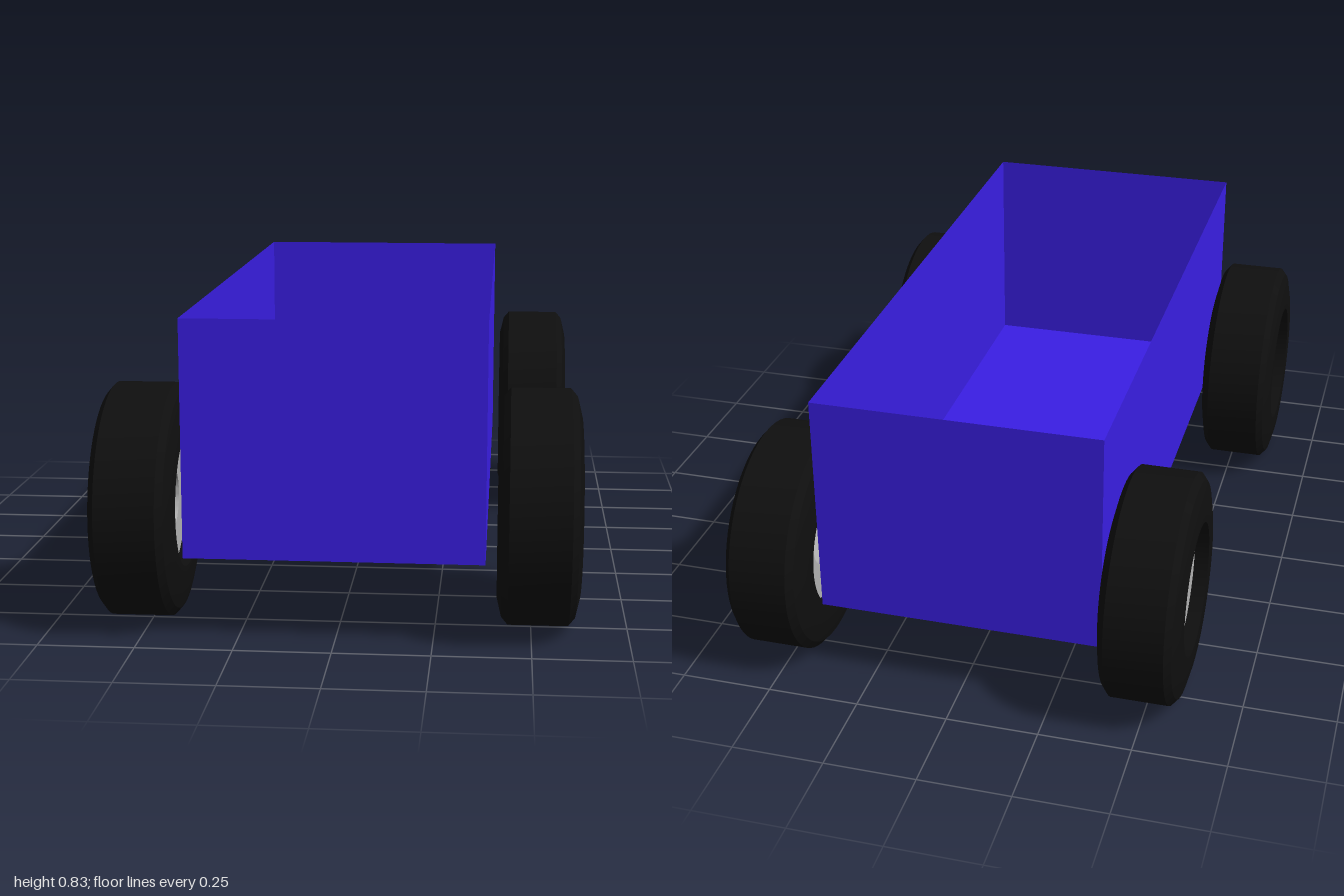
import * as THREE from 'three';
import { toCreasedNormals } from 'three/addons/utils/BufferGeometryUtils.js';

const bodyMat = new THREE.MeshStandardMaterial({ color: 0x3a1ee5, side: THREE.DoubleSide });
const tyreMat = new THREE.MeshStandardMaterial({ color: 0x0f0f0f });
const rimMat = new THREE.MeshStandardMaterial({ color: 0xb5b5b5 });
const hubMat = new THREE.MeshStandardMaterial({ color: 0xcccccc });

// Lathe around the x axis from [radius, offset] pairs
function lathe(profile) {
  const points = profile.map(([r, o]) => new THREE.Vector2(r, o));
  const geometry = new THREE.LatheGeometry(points, 64).rotateZ(-Math.PI / 2);
  return toCreasedNormals(geometry, 0.35);
}

function part(name, geometry, material) {
  const mesh = new THREE.Mesh(geometry, material);
  mesh.name = name;
  return mesh;
}

// Tyre ring with rounded shoulders, closed on the inside
const tyreGeometry = lathe([
  [0.18, -0.06], [0.18, -0.107], [0.24, -0.107], [0.29, -0.095], [0.31, -0.078],
  [0.31, 0.078], [0.29, 0.095], [0.24, 0.107], [0.18, 0.107], [0.18, 0.06],
]);
// Rim face sunk into the tyre, with a step down to the hub
const rimGeometry = lathe([[0.08, 0.045], [0.08, 0.068], [0.18, 0.068]].reverse());
const hubGeometry = lathe([[0.08, 0.045], [0, 0.045]]);

function wheel(x, z) {
  const group = new THREE.Group();
  group.name = 'wheel';
  group.add(part('tyre', tyreGeometry, tyreMat));
  for (const turn of [0, Math.PI]) {
    const rim = part('rim', rimGeometry, rimMat);
    const hub = part('hub', hubGeometry, hubMat);
    rim.rotation.y = hub.rotation.y = turn;
    group.add(rim, hub);
  }
  group.position.set(x, 0.31, z);
  return group;
}

export function createModel() {
  const model = new THREE.Group();
  model.name = 'wagon';

  // Thin-walled tub: a box without its top face
  const tub = new THREE.BoxGeometry(0.767, 0.615, 1.8);
  const index = Array.from(tub.index.array);
  index.splice(12, 6);
  tub.setIndex(index);
  tub.clearGroups();
  tub.translate(-0.002, 0.523, 0.025);
  model.add(part('tub', tub, bodyMat));

  // Wheels, each with its own slight offset from the tub
  for (const [x, z] of [[0.517, 0.69], [-0.521, 0.685], [0.51, -0.69], [-0.495, -0.69]]) {
    model.add(wheel(x, z));
  }
  return model;
}
